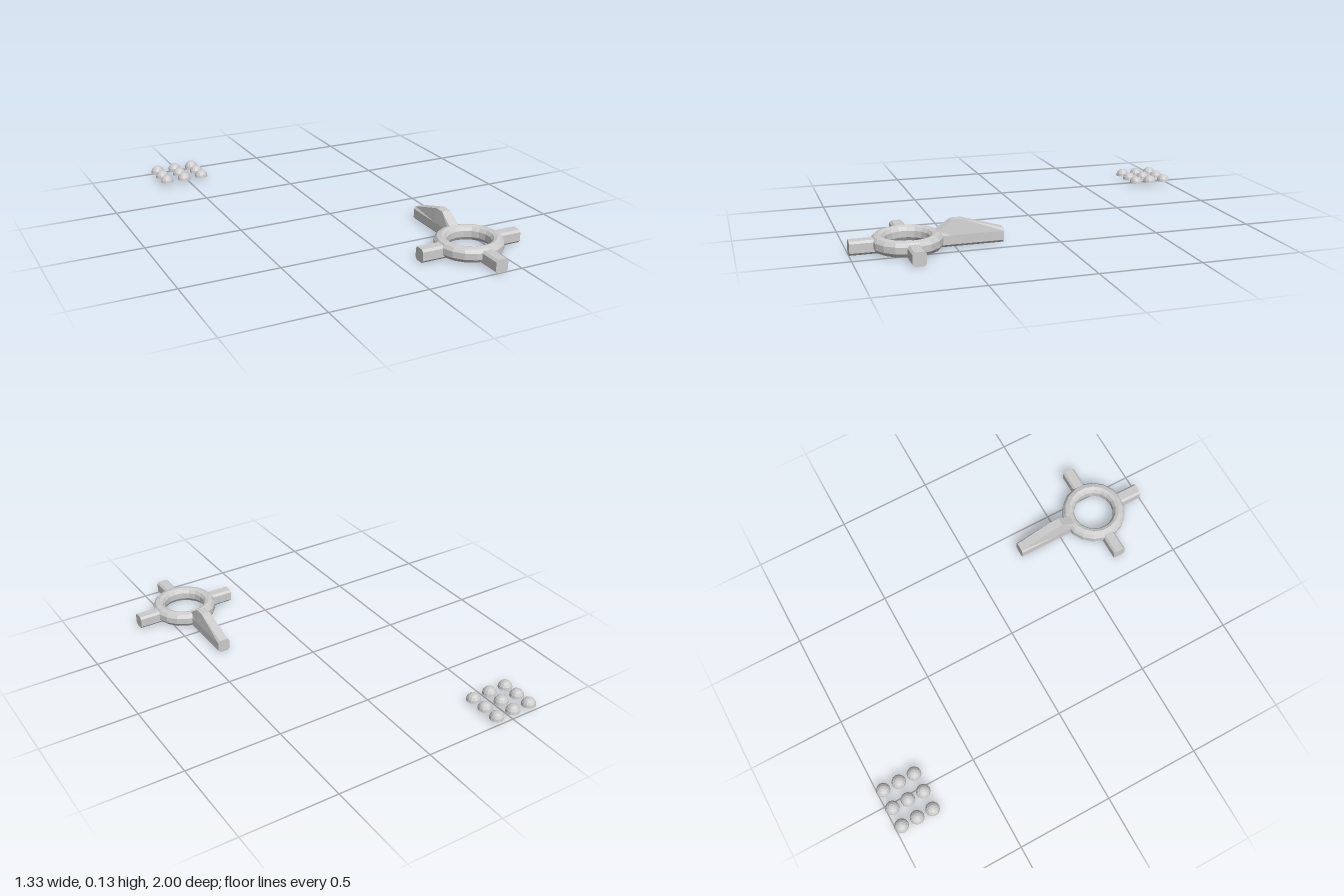
import * as THREE from 'three';

const material = new THREE.MeshStandardMaterial({ color: 0xcccccc, flatShading: true, side: THREE.DoubleSide });

function addMesh(parent, name, geometry) {
  const mesh = new THREE.Mesh(geometry, material);
  mesh.name = name;
  parent.add(mesh);
  return mesh;
}

// Chamfered bar along +z; each section is [z, top height, top half width]
function barGeometry(sections) {
  const h = 0.033, c = 0.012, shoulder = 0.057;
  const pos = [], index = [];
  for (const [z, top, half] of sections) {
    const right = [[h - c, 0], [h, c], [h, shoulder], [half, top]];
    const loop = [...right, ...right.slice().reverse().map(([x, y]) => [-x, y])];
    for (const [x, y] of loop) pos.push(x, y, z);
  }
  const n = 8, last = (sections.length - 1) * n;
  for (let s = 0; s < last; s += n) {
    for (let i = 0; i < n; i++) {
      const j = (i + 1) % n;
      index.push(s + i, s + j, s + n + j, s + i, s + n + j, s + n + i);
    }
  }
  // End caps
  for (let i = 1; i < n - 1; i++) {
    index.push(0, i + 1, i, last, last + i, last + i + 1);
  }
  const g = new THREE.BufferGeometry();
  g.setAttribute('position', new THREE.Float32BufferAttribute(pos, 3));
  g.setIndex(index);
  const flat = g.toNonIndexed();
  flat.computeVertexNormals();
  return flat;
}

export function createModel() {
  const model = new THREE.Group();
  model.name = 'model';

  // Spoked ring
  const wheel = new THREE.Group();
  wheel.name = 'spokedRing';
  wheel.position.set(0.388, 0, 0.722);
  model.add(wheel);

  const profile = [
    [0.135, 0.003], [0.157, 0.008], [0.17, 0.026], [0.17, 0.058], [0.157, 0.075], [0.135, 0.081],
    [0.119, 0.075], [0.108, 0.058], [0.108, 0.026], [0.119, 0.008], [0.135, 0.003],
  ].map(([r, y]) => new THREE.Vector2(r, y));
  addMesh(wheel, 'ring', new THREE.LatheGeometry(profile, 18));

  // Three short arms
  const arm = barGeometry([[0.14, 0.068, 0.022], [0.276, 0.068, 0.022]]);
  const arms = [['frontArm', 0], ['leftArm', Math.PI / 2], ['rightArm', -Math.PI / 2]];
  for (const [name, angle] of arms) addMesh(wheel, name, arm).rotation.y = angle;

  // Long raised handle pointing back
  const handle = barGeometry([
    [0.135, 0.079, 0.025], [0.212, 0.13, 0.023], [0.264, 0.13, 0.023], [0.462, 0.07, 0.023],
  ]);
  addMesh(wheel, 'handle', handle).rotation.y = Math.PI;

  // Three by three grid of small domes
  const domes = new THREE.Group();
  domes.name = 'domes';
  domes.position.set(-0.525, 0.018, -0.881);
  model.add(domes);
  const dome = new THREE.SphereGeometry(0.037, 12, 4, 0, Math.PI * 2, 0, Math.PI / 2);
  dome.scale(1, 1.05, 1);
  for (let i = -1; i <= 1; i++) {
    for (let j = -1; j <= 1; j++) {
      addMesh(domes, 'dome', dome).position.set(i * 0.101, 0, j * 0.086);
    }
  }
  return model;
}
